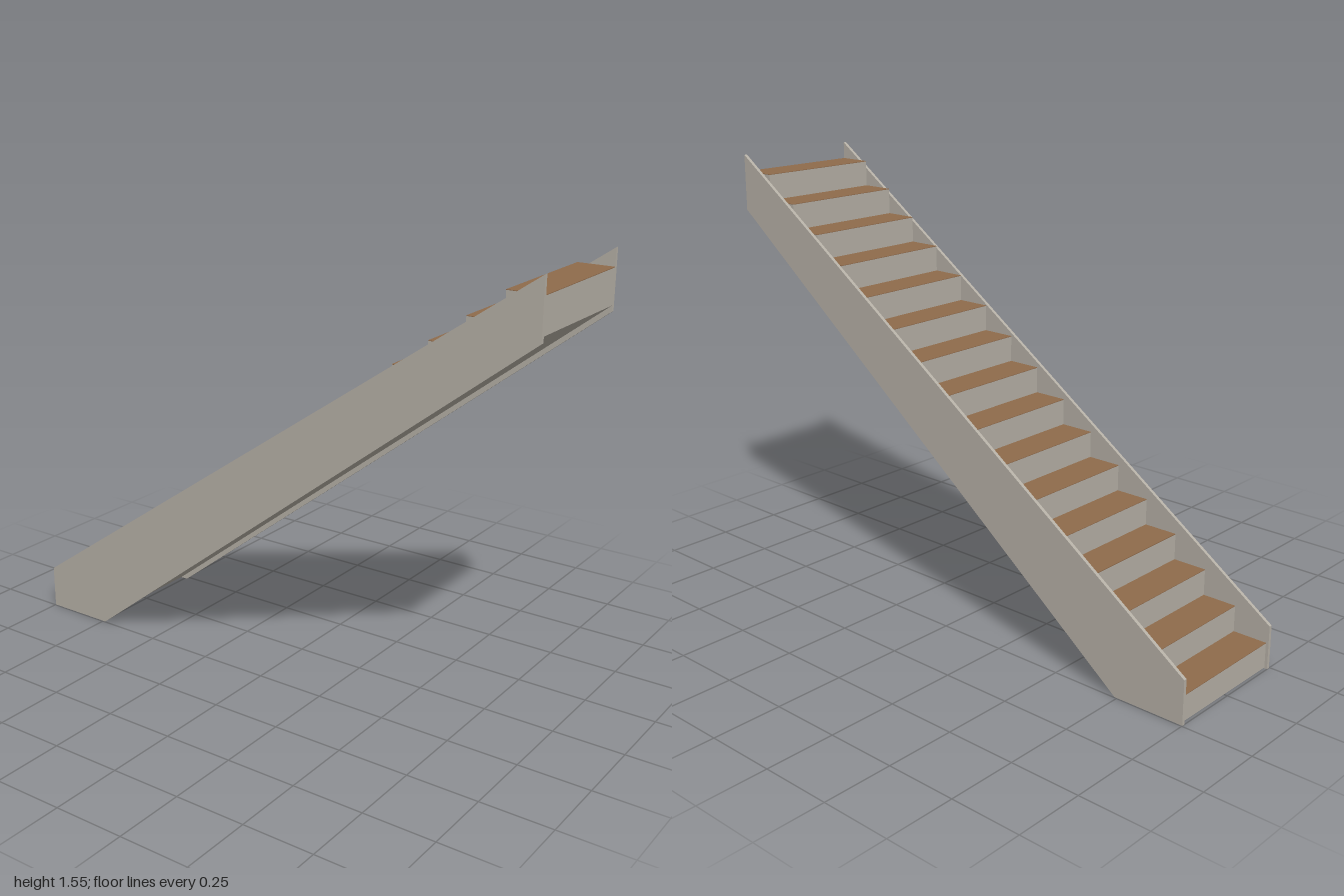
import * as THREE from 'three';

const STEPS = 16;
const START = -0.99;             // x of the first riser
const GOING = (1 - START) / STEPS;
const RISE = 1.49 / STEPS;
const INNER = 0.235;             // half width between the stringers
const OUTER = 0.247;

// Extrude an x/y outline between two z positions
function slab(points, z0, z1, material, name) {
  const shape = new THREE.Shape(points.map(([x, y]) => new THREE.Vector2(x, y)));
  const geometry = new THREE.ExtrudeGeometry(shape, { depth: z1 - z0, bevelEnabled: false });
  geometry.translate(0, 0, z0);
  const mesh = new THREE.Mesh(geometry, material);
  mesh.name = name;
  return mesh;
}

export function createModel() {
  const group = new THREE.Group();
  group.name = 'staircase';

  const plaster = new THREE.MeshStandardMaterial({ color: 0xb5afa5 });
  plaster.name = 'warm grey';
  const wood = new THREE.MeshStandardMaterial({ color: 0x8f6b4b });
  wood.name = 'brown wood';

  // Side stringers
  const side = [[-1, 0], [-0.74, 0], [1, 1.35], [1, 1.55], [-1, 0.155]];
  group.add(slab(side, INNER, OUTER, plaster, 'frontStringer'));
  group.add(slab(side, -OUTER, -INNER, plaster, 'backStringer'));

  // Stepped body: sloped soffit below, risers above
  const body = [[START, 0.003], [-0.765, 0.003], [1, 1.37]];
  for (let i = STEPS - 1; i >= 0; i--) {
    const top = (i + 1) * RISE - 0.002;
    body.push([START + (i + 1) * GOING, top], [START + i * GOING, top]);
  }
  group.add(slab(body, -INNER, INNER, plaster, 'risersAndSoffit'));

  // Wooden treads
  const treadGeometry = new THREE.BoxGeometry(GOING, 0.002, INNER * 2);
  for (let i = 0; i < STEPS; i++) {
    const tread = new THREE.Mesh(treadGeometry, wood);
    tread.name = `tread${i + 1}`;
    tread.position.set(START + (i + 0.5) * GOING, (i + 1) * RISE - 0.001, 0);
    group.add(tread);
  }
  return group;
}
